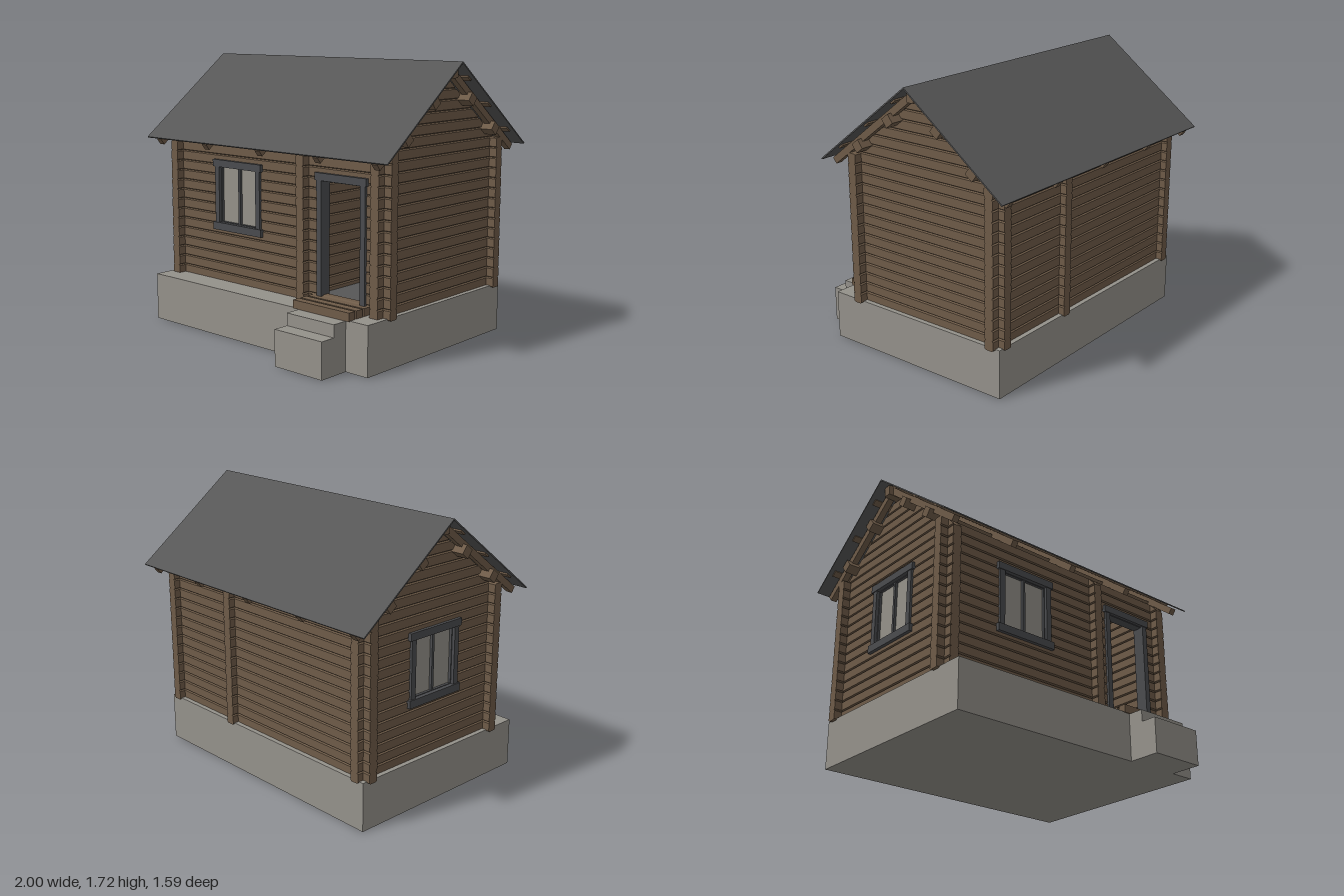
import * as THREE from 'three';
import { mergeGeometries } from 'three/addons/utils/BufferGeometryUtils.js';

const material = (name, color) => {
  const m = new THREE.MeshStandardMaterial({ color });
  m.name = name;
  return m;
};

const BASE = 0.289, COURSE = 0.0632, HALF = 0.03;   // log courses
const RIDGE_Y = 1.717, RIDGE_Z = -0.11, SLOPE = 0.7676, ROOF_LEN = 0.857;

export function createModel() {
  const wood = material('wood', 0x6e5b48);
  const concrete = material('concrete', 0x94918a);
  const roofing = material('roofing', 0x565656);
  const trim = material('trim', 0x4a4b4e);
  const glass = material('glass', 0x949189);
  const model = new THREE.Group();
  model.name = 'logCabin';

  // Box given by its min and max corners
  const box = (parent, name, mat, x0, x1, y0, y1, z0, z1) => {
    const mesh = new THREE.Mesh(new THREE.BoxGeometry(x1 - x0, y1 - y0, z1 - z0), mat);
    mesh.position.set((x0 + x1) / 2, (y0 + y1) / 2, (z0 + z1) / 2);
    mesh.name = name;
    parent.add(mesh);
    return mesh;
  };

  // Squared log with chamfered edges, lying along z from a to b
  const cx = 0.009, cy = 0.006;
  const profile = new THREE.Shape([
    [-HALF + cx, 0], [HALF - cx, 0], [HALF, cy], [HALF, COURSE - cy],
    [HALF - cx, COURSE], [-HALF + cx, COURSE], [-HALF, COURSE - cy], [-HALF, cy],
  ].map(([x, y]) => new THREE.Vector2(x, y)));
  const log = (a, b, k) => {
    const g = new THREE.ExtrudeGeometry(profile, { depth: b - a, bevelEnabled: false });
    return g.translate(0, BASE + k * COURSE, a);
  };

  // Stack of logs from a to b; openings are [from, to, first course, last course]
  const wall = (a, b, courses, openings = []) => {
    const logs = [];
    for (let k = 0; k < courses; k++) {
      let start = a;
      for (const [o0, o1, k0, k1] of openings) {
        if (k < k0 || k > k1) continue;
        logs.push(log(start, o0, k));
        start = o1;
      }
      logs.push(log(start, b, k));
    }
    return mergeGeometries(logs);
  };
  const addWall = (name, g, x, z) => {
    const mesh = new THREE.Mesh(g, wood);
    mesh.position.set(x, 0, z);
    mesh.name = name;
    model.add(mesh);
  };

  // Cut log ends to the roof slope
  const cutToRoof = (g) => {
    const p = g.attributes.position;
    for (let i = 0; i < p.count; i++) {
      const lim = Math.max(0, (1.645 - p.getY(i)) / SLOPE);
      p.setZ(i, THREE.MathUtils.clamp(p.getZ(i), RIDGE_Z - lim, RIDGE_Z + lim));
    }
    g.computeVertexNormals();
    return g;
  };

  // Foundation, steps and floor
  box(model, 'foundation', concrete, -0.9, 0.9, 0, 0.3, -0.69, 0.6);
  box(model, 'lowerStep', concrete, 0.38, 0.74, 0, 0.22, 0.6, 0.8);
  box(model, 'upperStep', concrete, 0.38, 0.74, 0, 0.295, 0.6, 0.7);
  box(model, 'floor', roofing, -0.82, 0.82, 0.3, 0.325, -0.61, 0.38);
  for (const z of [0.43, 0.493, 0.556]) {
    box(model, 'thresholdBoard', wood, 0.34, 0.77, 0.296, 0.347, z, z + 0.05);
  }

  // Long walls, gable walls and partition with crossing log ends
  const frontOpenings = [[-0.465, -0.12, 6, 11], [0.38, 0.74, 1, 11]];
  addWall('frontWall', wall(-0.92, 0.92, 15, frontOpenings).rotateY(Math.PI / 2), 0, 0.4);
  addWall('backWall', wall(-0.92, 0.92, 15).rotateY(Math.PI / 2), 0, -0.63);
  addWall('leftGable', cutToRoof(wall(-0.7, 0.48, 22)), 0.84, 0);
  addWall('rightGable', cutToRoof(wall(-0.7, 0.48, 22, [[-0.2725, 0.0725, 6, 11]])), -0.84, 0);
  addWall('partitionWall', cutToRoof(wall(-0.7, 0.48, 15)), 0.275, 0);

  // Window: casing boards, sash and two panes
  const addWindow = (x, z, turn) => {
    const w = new THREE.Group();
    w.name = 'window';
    box(w, 'topCasing', trim, -0.213, 0.213, 0.178, 0.223, 0.02, 0.05);
    box(w, 'sill', trim, -0.213, 0.213, -0.226, -0.178, 0.02, 0.052);
    for (const s of [-1, 1]) {
      box(w, 'sideCasing', trim, s * 0.18 - 0.018, s * 0.18 + 0.018, -0.18, 0.18, 0.02, 0.045);
      box(w, 'sashStile', trim, s * 0.165 - 0.008, s * 0.165 + 0.008, -0.19, 0.19, -0.03, 0.025);
      box(w, 'sashRail', trim, -0.17, 0.17, s * 0.183 - 0.009, s * 0.183 + 0.009, -0.03, 0.025);
    }
    box(w, 'mullion', trim, -0.009, 0.009, -0.18, 0.18, -0.01, 0.025);
    box(w, 'pane', glass, -0.165, 0.165, -0.18, 0.18, 0.002, 0.008);
    w.position.set(x, 0.857, z);
    w.rotation.y = turn;
    model.add(w);
  };
  addWindow(-0.2925, 0.4, 0);
  addWindow(-0.84, -0.1, -Math.PI / 2);

  // Open doorway
  const door = new THREE.Group();
  door.name = 'doorFrame';
  model.add(door);
  box(door, 'headCasing', trim, 0.365, 0.755, 1.035, 1.08, 0.42, 0.45);
  box(door, 'headJamb', trim, 0.38, 0.74, 1.03, 1.047, 0.365, 0.43);
  for (const s of [-1, 1]) {
    const x = 0.56 + s * 0.166;
    box(door, 'sideCasing', trim, x - 0.018, x + 0.018, 0.347, 1.035, 0.42, 0.445);
    box(door, 'sideJamb', trim, x - 0.016, x + 0.016, 0.325, 1.04, 0.365, 0.43);
  }

  // Roof: each slope is built flat (y is its normal, z runs downhill), then tilted
  for (const s of [1, -1]) {
    const side = new THREE.Group();
    side.name = s > 0 ? 'frontRoof' : 'backRoof';
    side.position.set(0, RIDGE_Y, RIDGE_Z);
    side.rotation.y = s > 0 ? 0 : Math.PI;
    const slope = new THREE.Group();
    slope.name = 'slope';
    slope.rotation.x = Math.atan(SLOPE);
    side.add(slope);
    model.add(side);
    box(slope, 'roofSheet', roofing, -1, 1, -0.008, 0, 0, ROOF_LEN);
    for (const z of [0.15, 0.42, 0.69]) {
      box(slope, 'batten', wood, -0.97, 0.97, -0.018, -0.008, z - 0.02, z + 0.02);
    }
    for (const x of [-0.9, -0.467, 0, 0.467, 0.9]) {
      box(slope, 'rafter', wood, x - 0.02, x + 0.02, -0.06, -0.018, 0, ROOF_LEN - 0.004);
    }
    for (const z of [0.281, 0.592]) {
      box(slope, 'purlin', wood, -0.95, 0.95, -0.1, -0.04, z - 0.03, z + 0.03);
    }
  }
  box(model, 'ridgeBeam', wood, -0.95, 0.95, 1.62, 1.685, RIDGE_Z - 0.025, RIDGE_Z + 0.025);

  return model;
}
